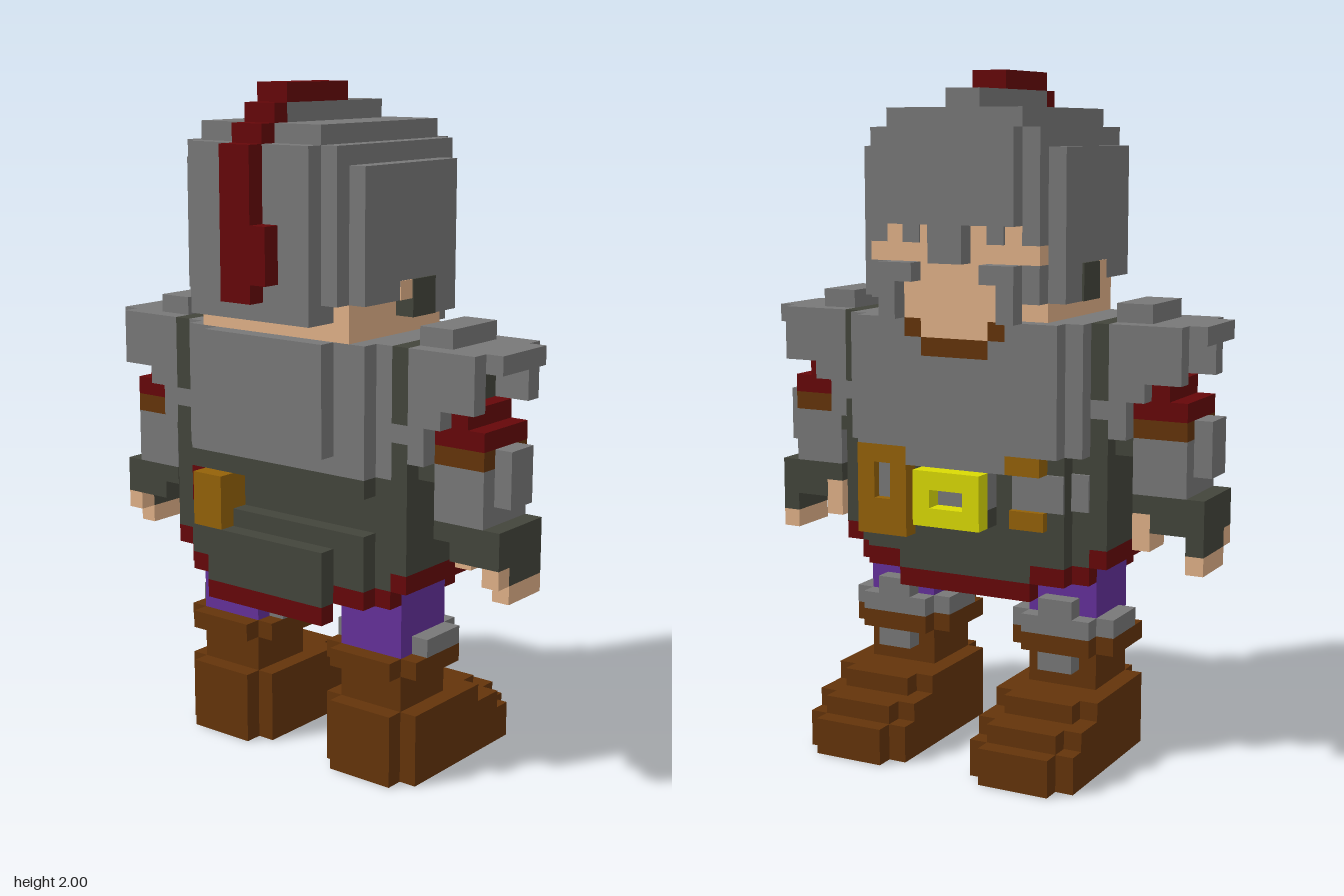
import * as THREE from 'three';

const V = 2 / 37; // one block
const mat = (name, color) => Object.assign(new THREE.MeshStandardMaterial({ color }), { name });
const steel = mat('steel', 0x787878), dark = mat('darkCloth', 0x43453b), brown = mat('leather', 0x64340a),
  red = mat('red', 0x660709), skin = mat('skin', 0xe0b188), purple = mat('purple', 0x64309a),
  yellow = mat('brass', 0xdada04), ochre = mat('ochre', 0x946208);

export function createModel() {
  const model = new THREE.Group();
  let part;
  const group = (name) => { part = new THREE.Group(); part.name = name; model.add(part); };

  // Block given by ranges in block units: x counts from the back, z from the middle
  const box = (name, m, x0, x1, y0, y1, z0, z1) => {
    const mesh = new THREE.Mesh(new THREE.BoxGeometry((x1 - x0) * V, (y1 - y0) * V, (z1 - z0) * V), m);
    mesh.position.set(((x0 + x1) / 2 - 7.5) * V, (y0 + y1) / 2 * V, (z0 + z1) / 2 * V);
    mesh.name = name;
    part.add(mesh);
  };
  // Same block on both sides
  const pair = (name, m, x0, x1, y0, y1, z0, z1) => {
    box(name, m, x0, x1, y0, y1, z0, z1);
    box(name, m, x0, x1, y0, y1, -z1, -z0);
  };
  // Rounded layer made of neighbouring slabs [half width, x0, x1]
  const layer = (name, m, y0, y1, slabs) => {
    let inner = 0;
    for (const [w, x0, x1] of slabs) {
      if (inner === 0) box(name, m, x0, x1, y0, y1, -w, w);
      else pair(name, m, x0, x1, y0, y1, inner, w);
      inner = w;
    }
  };

  group('legs');
  pair('bootHeel', brown, 4, 5, 0, 4, 3, 7);
  pair('bootSole', brown, 5, 13, 0, 3, 2, 8);
  pair('bootToe', brown, 13, 14, 0, 2, 2, 8);
  pair('bootToeTop', brown, 13, 14, 2, 3, 3, 7);
  pair('bootTip', brown, 14, 15, 0, 2, 3, 7);
  pair('bootUpper', brown, 5, 11, 3, 4, 2, 8);
  pair('bootInstep', brown, 11, 12, 3, 4, 3, 7);
  pair('bootShaft', brown, 5, 9, 4, 6, 3, 7);
  pair('bootCuff', brown, 4, 10, 6, 7, 3, 7);
  pair('bootCuffSide', brown, 5, 9, 6, 7, 2, 3);
  pair('bootCuffSide', brown, 5, 9, 6, 7, 7, 8);
  pair('thigh', purple, 5, 9, 7, 12, 3, 7);
  pair('kneeFront', steel, 9, 10, 7, 8, 3, 7);
  pair('kneeSide', steel, 6, 9, 7, 8, 2, 3);
  pair('kneeSide', steel, 6, 9, 7, 8, 7, 8);
  pair('kneeTop', steel, 9, 10, 8, 9, 4, 6);
  pair('kneeTab', steel, 9, 10, 5, 6, 4, 6);
  box('pelvis', purple, 5, 9, 11, 12, -7, 7);

  group('skirt');
  layer('skirtTop', dark, 12, 13, [[4, 2, 11], [6, 3, 11], [8, 4, 10]]);
  layer('skirtWaist', dark, 13, 14, [[4, 3, 11], [6, 3, 11], [8, 4, 10]]);
  // Front and back panels with a stepped red hem: [centre, side, corner]
  for (const [c, s, k] of [[10, 10, 9], [2, 3, 4]]) {
    box('panel', dark, c, c + 1, 10, 12, -4, 4);
    box('hem', red, c, c + 1, 9, 10, -4, 4);
    pair('sidePanel', dark, s, s + 1, 11, 12, 4, 6);
    pair('sideHem', red, s, s + 1, 10, 11, 4, 6);
    pair('cornerPanel', dark, k, k + 1, 11, 12, 6, 7);
    pair('cornerHem', red, k, k + 1, 10, 11, 6, 7);
  }
  pair('hipHem', red, 4, 10, 11, 12, 7, 8);

  group('belt');
  layer('belt', dark, 14, 16, [[6, 4, 11], [8, 4, 10]]);
  box('beltPlate', steel, 11, 11.15, 14, 16, -6, -3);
  pair('beltSidePlate', steel, 10, 10.15, 14, 16, 6, 7);
  layer('waist', dark, 16, 17, [[6, 3, 11], [8, 4, 10]]);
  // Buckle frame over its backing
  box('buckleBacking', steel, 11, 12, 14, 16, -2, 2);
  box('buckleBase', dark, 11, 12, 13, 14, -2, 2);
  box('buckleTop', yellow, 12, 13, 15, 16, -2, 2);
  box('buckleBottom', yellow, 12, 13, 13, 14, -2, 2);
  pair('buckleSide', yellow, 12, 13, 14, 15, 1, 2);
  // Pouches
  box('pouchTop', ochre, 10, 12, 16, 17, 3, 6.05);
  box('pouchBottom', ochre, 10, 12, 12, 14, 3, 6.05);
  box('pouchSide', ochre, 10, 12, 14, 16, 3, 4);
  box('pouchSide', ochre, 10, 12, 14, 16, 5, 6.05);
  box('pouchInset', steel, 10, 11.5, 14, 16, 4, 5);
  box('strapTop', ochre, 10.5, 12, 16, 17, -5, -3);
  box('strapBottom', ochre, 10.5, 11.5, 13, 14, -5, -3);
  box('backPouch', ochre, 2, 4, 13.01, 16, -5, -3);
  box('backTag', red, 3, 4, 14, 16, -6, -5);

  group('chest');
  box('bellyPlate', steel, 10.5, 12, 16, 17, -3, 3);
  layer('lowerChest', steel, 17, 18, [[6, 3, 12], [7, 4, 11]]);
  layer('breastplate', steel, 18, 22, [[4, 2, 12], [6, 3, 12], [7, 4, 11]]);
  layer('upperChest', steel, 22, 24, [[3, 2, 11], [4, 2, 12], [6, 3, 12], [7, 4, 11]]);
  pair('collarSide', steel, 11, 12, 22, 23, 2, 3);
  pair('collarTrim', brown, 11, 12, 23, 24, 2, 3);
  box('collarFront', brown, 11, 12, 22, 23, -2, 2);
  pair('shoulderStrap', dark, 4, 10, 20, 24, 7, 8);
  pair('flankPlate', steel, 4, 10, 19, 20, 7, 8);
  pair('flank', dark, 4, 10, 17, 19, 7, 8);

  group('arms');
  pair('pauldronTop', steel, 5, 9, 24, 25, 8, 10);
  pair('pauldron', steel, 4, 10, 23, 24, 8, 12);
  pair('pauldronLip', steel, 5, 9, 23, 24, 12, 13);
  pair('pauldronCore', dark, 5, 9, 21, 23, 8, 10);
  for (const x of [4, 9]) {
    pair('pauldronFace', steel, x, x + 1, 21, 23, 8, 12);
    pair('pauldronDrop', steel, x, x + 1, 20, 21, 8, 10);
    pair('pauldronPoint', steel, x, x + 1, 18, 20, 8, 9);
  }
  pair('armpit', dark, 5, 9, 17, 21, 8, 9);
  pair('sleeve', red, 5, 9, 19, 21, 9, 11);
  pair('sleeveOuter', red, 5, 9, 19, 20, 11, 12);
  pair('sleeveBand', brown, 5, 9, 18, 19, 9, 12);
  pair('forearm', steel, 5, 9, 15, 18, 9, 12);
  pair('bracer', steel, 6, 8, 16, 19, 12, 13);
  pair('gloveCuff', dark, 5, 9, 14, 15, 9, 13);
  pair('glove', dark, 5, 9, 13, 14, 10, 13);
  pair('gloveBack', dark, 6, 9, 12, 13, 12, 13);
  pair('palm', skin, 5, 6, 12, 13, 12, 13);
  pair('fingers', skin, 6, 9, 11, 12, 12, 13);
  pair('thumb', skin, 7, 9, 12, 14, 9, 10);

  group('head');
  box('neck', skin, 3, 11, 24, 26, -5, 5);
  box('face', skin, 10, 12, 23, 29, -2, 2);
  pair('jaw', skin, 10, 12, 24, 26, 2, 3);
  pair('eyeSocket', skin, 10.9, 12, 27, 29, 2, 4);
  pair('temple', skin, 10.9, 12, 27, 28, 4, 5);
  pair('eye', steel, 12, 12.12, 28, 29, 2, 3);
  pair('ear', skin, 6, 7, 26, 27, 5.5, 6.05);

  group('helmet');
  layer('helmetShell', steel, 26, 33, [[4, 1, 11], [5, 2, 11], [6, 3, 11]]);
  box('neckGuard', steel, 1, 3, 25, 26, -4, 4);
  pair('earStrap', dark, 7, 9, 25, 27, 5, 6.12);
  pair('cheek', steel, 9, 11, 25, 27, 5, 6);
  pair('cheekSide', steel, 11, 12, 25, 27, 4, 5);
  pair('cheekFront', steel, 11, 13, 25, 27, 3, 4);
  pair('cheekInner', steel, 11.9, 13, 26, 27, 2, 3);
  pair('cheekPoint', steel, 12, 13, 24, 25, 3, 4);
  pair('templeGuard', steel, 11, 12, 28, 29, 4, 5);
  layer('brow', steel, 29, 33, [[4, 11, 13], [5, 11, 12]]);
  box('noseGuard', steel, 12, 13, 27, 29, -1, 1);
  layer('dome', steel, 33, 34, [[4, 1, 13], [5, 2, 12]]);
  box('domeTop', steel, 2, 12, 34, 35, -4, 4);
  box('domeRidge', steel, 3, 11, 35, 36, -1, 1);

  group('crest');
  box('crestTop', red, 3, 8, 36, 37, -1, 1);
  box('crestStep', red, 2, 3, 35, 36, -1, 1);
  box('crestStep', red, 1, 2, 34, 35, -1, 1);
  box('crestBack', red, 0, 1, 26, 34, -1, 1);
  box('crestTuft', red, 0, 1, 27, 30, 1, 2);

  return model;
}
